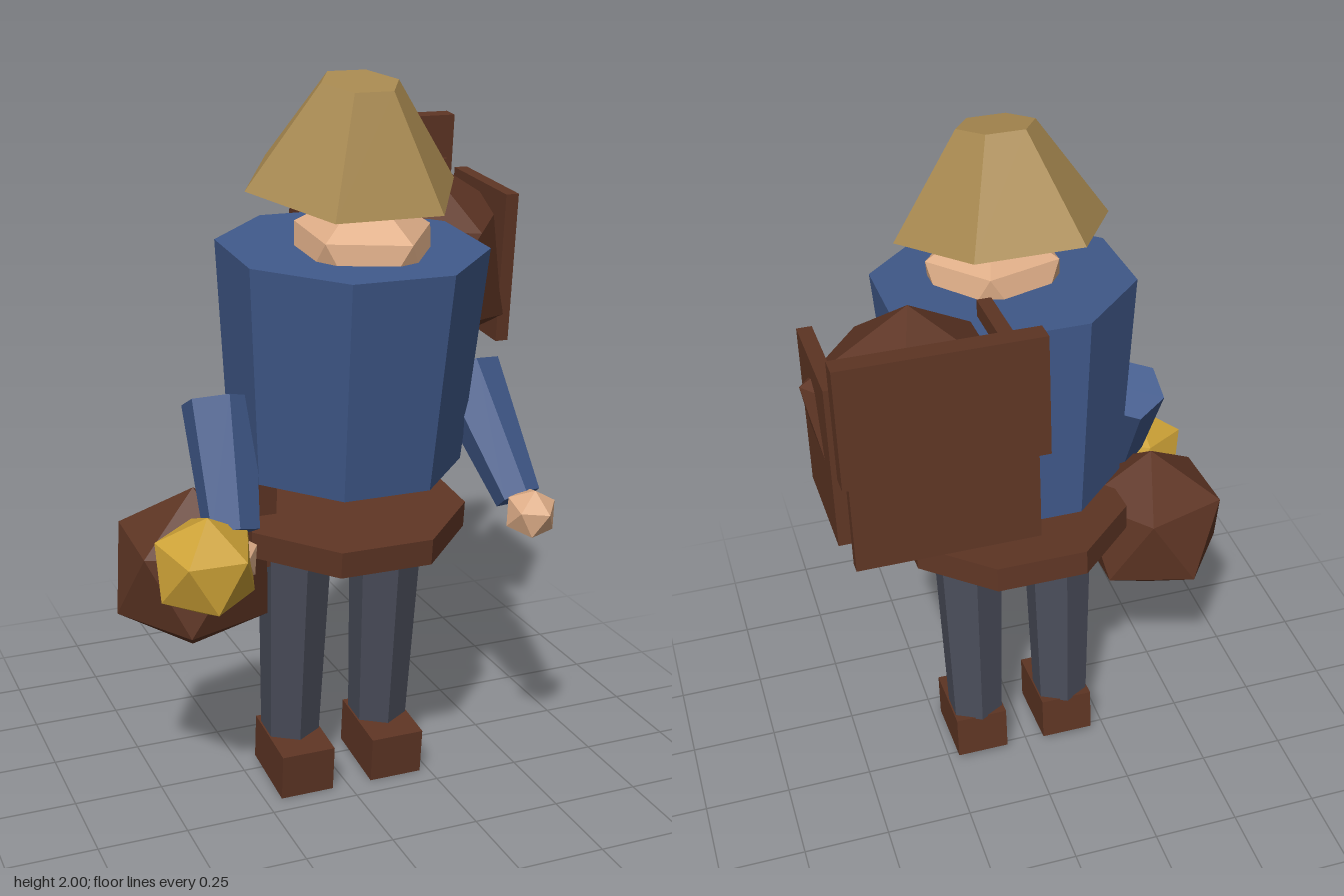
import * as THREE from 'three';

export function createModel() {
  const model = new THREE.Group();
  model.name = 'lowPolyTraveller';

  const mat = (name, color) => {
    const m = new THREE.MeshStandardMaterial({ color, flatShading: true });
    m.name = name;
    return m;
  };
  const blue = mat('blueCloth', 0x40598a);
  const grey = mat('greyTrousers', 0x494c59);
  const brown = mat('brownLeather', 0x5e3524);
  const straw = mat('straw', 0xa88950);
  const skin = mat('skin', 0xdfae88);
  const gold = mat('gold', 0xcca136);

  const LEAN = 0.085; // the whole body leans forward
  const MID = 0.01;   // body centre line

  function add(name, geometry, material, [x, y, z], lean = LEAN) {
    const mesh = new THREE.Mesh(geometry, material);
    mesh.name = name;
    mesh.position.set(x, y, z);
    mesh.rotation.x = lean;
    model.add(mesh);
    return mesh;
  }

  // Prism with its flat sides squared to the axes when turned half a step
  const prism = (rTop, rBottom, height, sides, halfStep = false) => {
    const g = new THREE.CylinderGeometry(rTop, rBottom, height, sides);
    return halfStep ? g.rotateY(Math.PI / sides) : g;
  };

  // Twenty-sided ball standing on a corner
  const ball = (radius) => {
    const t = (1 + Math.sqrt(5)) / 2;
    return new THREE.IcosahedronGeometry(radius, 0).rotateZ(-Math.atan(1 / t));
  };

  // Tapered limb between two points
  function limb(name, from, to, rFrom, rTo, material) {
    const a = new THREE.Vector3(...from), b = new THREE.Vector3(...to);
    const axis = a.clone().sub(b);
    const mesh = add(name, prism(rFrom, rTo, axis.length(), 6), material, [0, 0, 0], 0);
    mesh.position.copy(a).add(b).multiplyScalar(0.5);
    mesh.quaternion.setFromUnitVectors(new THREE.Vector3(0, 1, 0), axis.normalize());
  }

  // Torso and belt
  add('torso', prism(0.357, 0.313, 0.59, 8, true), blue, [MID, 1.273, 0.148], 0.08);
  add('belt', prism(0.335, 0.335, 0.073, 8, true), brown, [MID, 0.815, 0.11], 0.1);

  // Head and hat
  add('head', ball(0.207), skin, [0.02, 1.525, 0.215], 0.1);
  add('hat', prism(0.105, 0.29, 0.27, 6, true), straw, [MID, 1.852, 0.19], 0.195);

  // Legs and boots
  for (const [side, s] of [['left', 1], ['right', -1]]) {
    add(side + 'Leg', prism(0.102, 0.084, 0.585, 6), grey, [MID + s * 0.136, 0.438, 0.074]);
    add(side + 'Boot', new THREE.BoxGeometry(0.155, 0.135, 0.226), brown,
      [MID + s * 0.136, 0.079, 0.083], 0.1);
  }

  // Arms and hands
  limb('leftArm', [0.35, 1.185, 0.155], [0.41, 0.885, 0.375], 0.1, 0.062, blue);
  limb('rightArm', [-0.345, 1.17, 0.12], [-0.365, 0.86, 0.27], 0.1, 0.075, blue);
  add('leftHand', ball(0.073), skin, [0.407, 0.868, 0.452], 0.3);
  add('rightHand', ball(0.073), skin, [-0.375, 0.80, 0.3], 0.3);

  // Golden ball held in the right hand
  add('goldenBall', ball(0.146), gold, [-0.453, 0.795, 0.315], 0.2).rotation.y = 0.3;

  // Hip pouch and its strap
  add('hipPouch', ball(0.235), brown, [-0.42, 0.705, 0.1], 0.08);
  add('pouchStrap', new THREE.BoxGeometry(0.05, 0.285, 0.05), brown, [-0.225, 0.835, 0.13]);

  // Shoulder pack: round bag, two side boards, back board and flap
  add('packBag', ball(0.31), brown, [0.345, 1.43, -0.195]);
  for (const [side, x] of [['Left', 0.573], ['Right', 0.114]]) {
    add('packBoard' + side, new THREE.BoxGeometry(0.039, 0.432, 0.33), brown, [x, 1.427, -0.2]);
  }
  add('packBackBoard', new THREE.BoxGeometry(0.46, 0.43, 0.033), brown, [0.345, 1.455, -0.474]);
  add('packFlap', new THREE.BoxGeometry(0.5, 0.31, 0.055), brown, [0.345, 1.645, -0.479]);

  return model;
}
